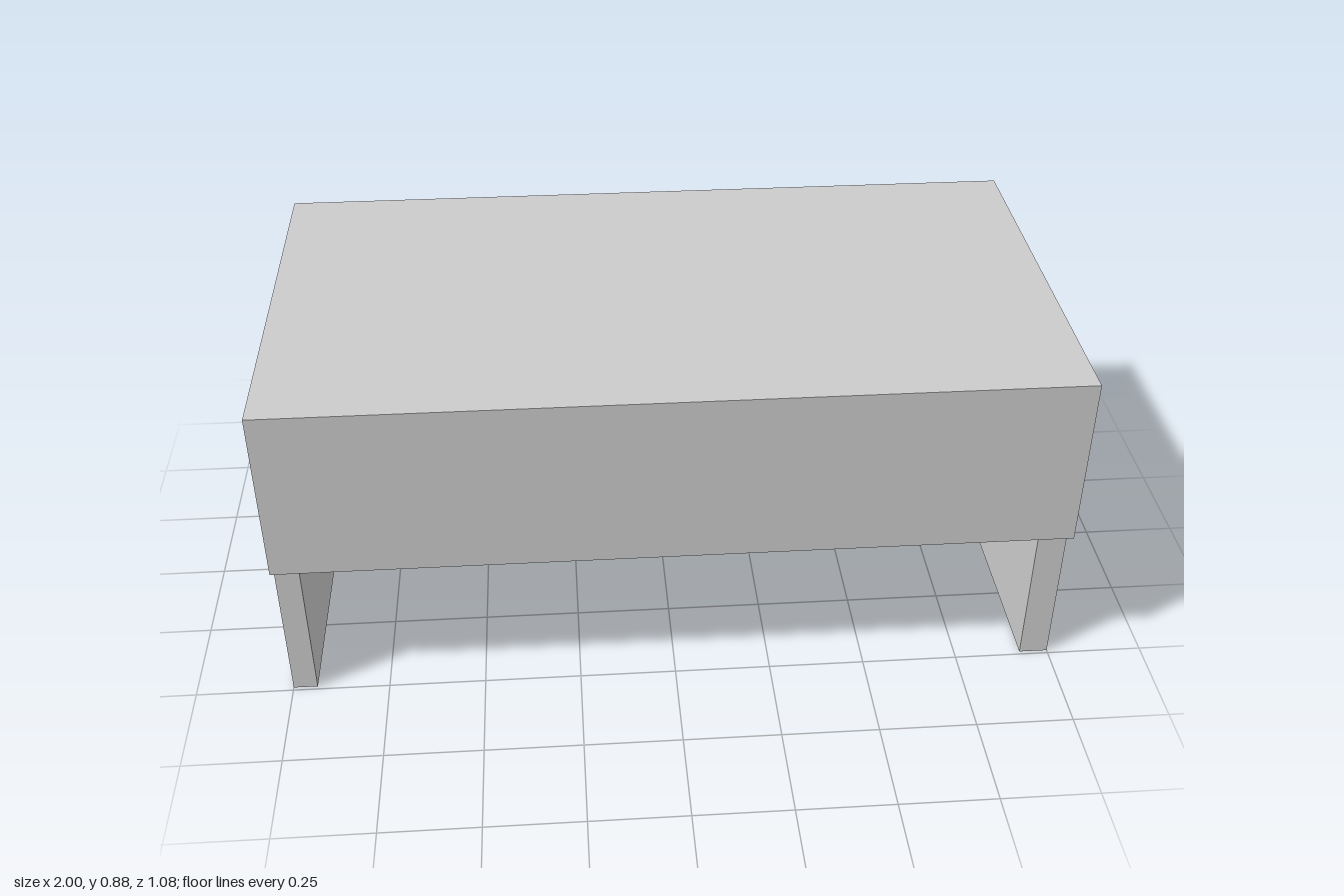
import * as THREE from 'three';

const material = new THREE.MeshStandardMaterial({ color: 0xcccccc, flatShading: true });

// Box given by its lower and upper corners
function slab(name, [x0, y0, z0], [x1, y1, z1]) {
  const mesh = new THREE.Mesh(new THREE.BoxGeometry(x1 - x0, y1 - y0, z1 - z0), material);
  mesh.name = name;
  mesh.position.set((x0 + x1) / 2, (y0 + y1) / 2, (z0 + z1) / 2);
  return mesh;
}

export function createModel() {
  const desk = new THREE.Group();
  desk.name = 'desk';

  const underside = 0.812, legFront = 0.49, legBack = -0.5, edge = 0.538;

  desk.add(
    // Top, overhanging the legs at the back
    slab('desktop', [-1, underside, -edge], [1, 0.883, edge]),
    // Panel fixed to the front edges of the legs
    slab('frontPanel', [-1, 0.423, legFront], [1, underside, edge]),
    // Slab legs, the left one slightly thicker
    slab('rightLeg', [-1, 0, legBack], [-0.938, underside, legFront]),
    slab('leftLeg', [0.926, 0, legBack], [1, underside, legFront]),
  );
  return desk;
}
